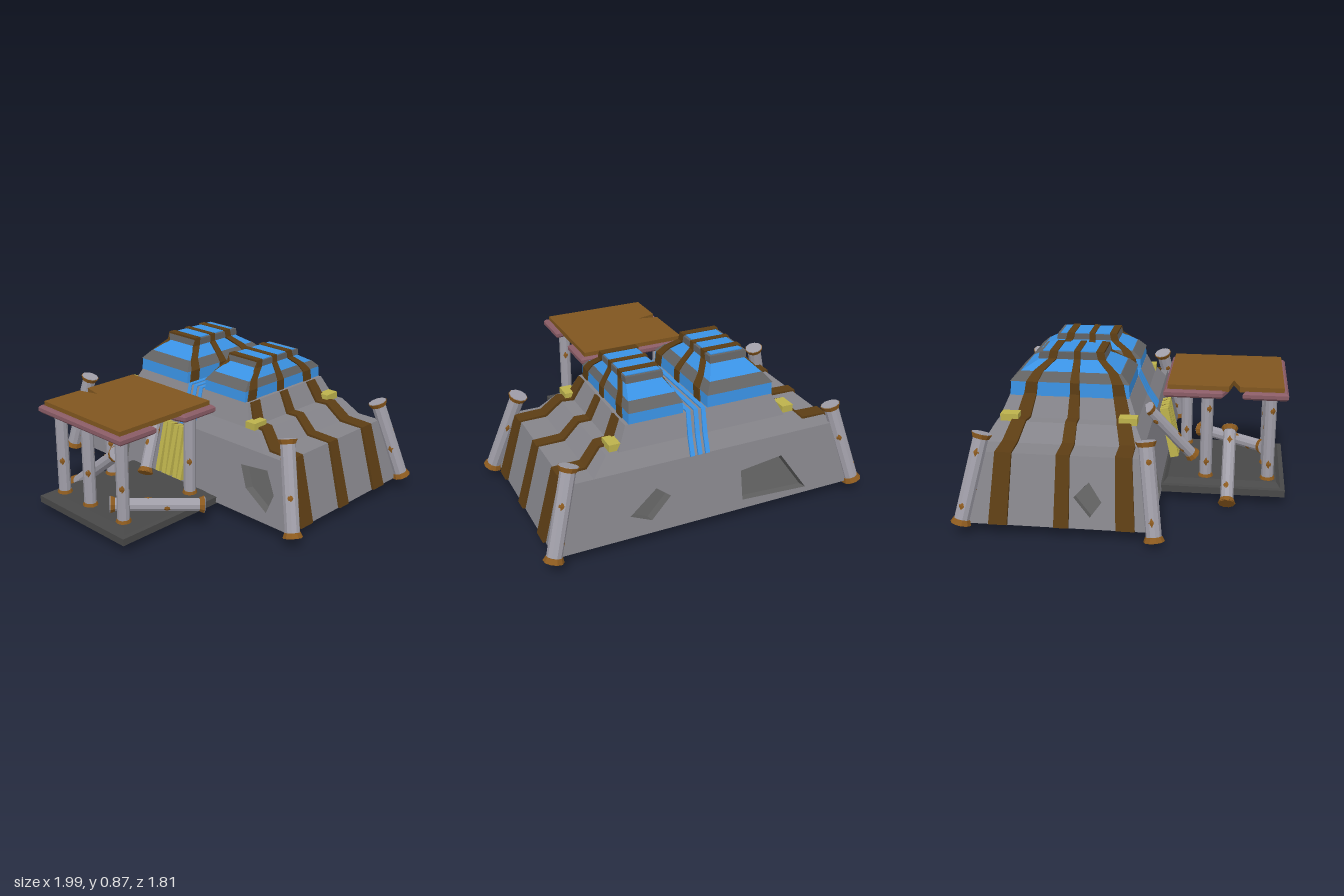
import * as THREE from 'three';

const mat = (color) => new THREE.MeshStandardMaterial({ color, flatShading: true });
const M = {
  stone: mat(0x85848a), dark: mat(0x636363), slab: mat(0x484848), blue: mat(0x3a92e4), strap: mat(0x5c3d14),
  roof: mat(0x80561f), trim: mat(0x8a5c66), yellow: mat(0xbdb24c), pillar: mat(0xa09ea8), rust: mat(0x8c5a1e),
};
const CZ = -0.31; // centre of the main building in z

function add(parent, name, geometry, material, x = 0, y = 0, z = 0) {
  const m = new THREE.Mesh(geometry, material);
  m.name = name;
  m.position.set(x, y, z);
  parent.add(m);
  return m;
}

// Solid skinned over rings of corners (counter-clockwise seen from the far end); the far end may stay open
function loft(rings, closeEnd = true) {
  const pos = [], n = rings[0].length;
  const tri = (...p) => p.forEach((v) => pos.push(...v));
  for (let r = 0; r + 1 < rings.length; r++) {
    for (let i = 0; i < n; i++) {
      const j = (i + 1) % n, a = rings[r], b = rings[r + 1];
      tri(a[i], a[j], b[j]);
      tri(a[i], b[j], b[i]);
    }
  }
  const s = rings[0], e = rings[rings.length - 1];
  for (let i = 1; i + 1 < n; i++) {
    tri(s[0], s[i + 1], s[i]);
    if (closeEnd) tri(e[0], e[i], e[i + 1]);
  }
  const g = new THREE.BufferGeometry();
  g.setAttribute('position', new THREE.Float32BufferAttribute(pos, 3));
  g.computeVertexNormals();
  return g;
}

const rect = (y, x0, x1, hz, cz = CZ) =>
  [[x1, y, cz + hz], [x1, y, cz - hz], [x0, y, cz - hz], [x0, y, cz + hz]];

// Flat strap following points [x, y, z, width], thickened along the path normal
function ribbon(path, t) {
  return loft(path.map(([x, y, z, w], i) => {
    const a = path[Math.max(i - 1, 0)], b = path[Math.min(i + 1, path.length - 1)];
    const l = Math.hypot(b[0] - a[0], b[1] - a[1]);
    const nx = -(b[1] - a[1]) / l, ny = (b[0] - a[0]) / l, h = w / 2;
    const p = (d, dz) => [x + nx * d, y + ny * d, z + dz];
    return [p(-0.012, h), p(-0.012, -h), p(t, -h), p(t, h)];
  }));
}

const polygon = (pts) => new THREE.Shape(pts.map(([x, y]) => new THREE.Vector2(x, y)));

// Sloping wall with broken niches sunk into it (niche corners run clockwise, so the recess faces outward)
function wall(parent, angle, wb, wt, db, dt, niches) {
  const h = 0.37, tilt = Math.atan((db - dt) / h), len = Math.hypot(h, db - dt);
  const shape = polygon([[-wb, 0], [wb, 0], [wt, len], [-wt, len]]);
  const turn = (g) => g.rotateX(-tilt).translate(0, 0.06, db).rotateY(angle).translate(0, 0, CZ);
  for (const niche of niches) {
    const pts = niche.map(([x, y]) => [x, (y - 0.06) / Math.cos(tilt)]);
    shape.holes.push(polygon(pts));
    const recess = loft([-0.06, 0].map((d) => pts.map(([x, y]) => [x, y, d])), false);
    add(parent, 'brokenNiche', turn(recess), M.dark);
  }
  add(parent, 'slopingWall', turn(new THREE.ShapeGeometry(shape)), M.stone);
}

// Pipe-like pillar with rusty flanges between two points
function pillar(parent, name, from, to, r = 0.037, baseMaterial = M.rust) {
  const a = new THREE.Vector3(...from), b = new THREE.Vector3(...to);
  const len = a.distanceTo(b), g = new THREE.Group();
  g.name = name;
  g.position.copy(a).lerp(b, 0.5);
  g.quaternion.setFromUnitVectors(new THREE.Vector3(0, 1, 0), b.clone().sub(a).normalize());
  add(g, 'shaft', new THREE.CylinderGeometry(r, r, len, 10), M.pillar);
  for (const s of [-1, 1]) {
    const big = r * 1.35, small = r * 1.08;
    add(g, 'flange', new THREE.CylinderGeometry(s > 0 ? big : small, s > 0 ? small : big, 0.026, 10), M.rust, 0, s * (len / 2 - 0.014), 0);
    add(g, 'endCap', new THREE.CylinderGeometry(r * 1.25, r * 1.25, 0.006, 10), s > 0 ? M.pillar : baseMaterial, 0, s * len / 2, 0);
  }
  for (let i = 0; i < 4; i++) { // rust patches
    const t = i * 2.2 + len * 9;
    const p = add(g, 'rustPatch', new THREE.OctahedronGeometry(1), M.rust, Math.sin(t) * r * 0.92, (i - 1.5) * len * 0.2, Math.cos(t) * r * 0.92);
    p.scale.set(0.016, 0.034, 0.006);
    p.rotation.y = t;
  }
  parent.add(g);
}

// Outer edge and inner edge are on the -x side; side = 1 mirrors to +x
function tower(parent, side, outer, inner, k, s) {
  const Y = (y) => 0.64 + (y - 0.64) * s;
  const ring = (y, inset, hz) => {
    const o = outer + inset * k, i = inner - inset * k;
    return side > 0 ? rect(Y(y), -i, -o, hz) : rect(Y(y), o, i, hz);
  };
  const g = new THREE.Group();
  g.name = side > 0 ? 'leftTower' : 'rightTower';
  add(g, 'lowerGlass', loft([ring(0.63, 0, 0.335), ring(0.71, 0.004, 0.33)]), M.blue);
  add(g, 'lowerBand', loft([ring(0.71, 0, 0.335), ring(0.76, 0.04, 0.285)]), M.dark);
  add(g, 'upperGlass', loft([ring(0.76, 0.042, 0.28), ring(0.82, 0.1, 0.18)]), M.blue);
  add(g, 'capBand', loft([ring(0.82, 0.09, 0.19), ring(0.86, 0.09, 0.182)]), M.dark);
  add(g, 'skylight', loft([ring(0.855, 0.105, 0.165), ring(0.865, 0.105, 0.165)]), M.blue);

  // three straps climbing the end wall, then thinner ones over the tower and down its inner side
  const up = [[0, 0.64, 0.25, 0.07], [0, 0.71, 0.24, 0.065], [0.04, 0.76, 0.21, 0.055], [0.09, 0.82, 0.14, 0.045], [0.09, 0.863, 0.13, 0.045]];
  for (const f of [-1, 0, 1]) {
    const z = (v) => CZ + 0.03 + v * f, width = f ? 1 : 0.8;
    const strap = (name, points, t) => {
      let path = points.map(([x, y, v, w]) => [x, y, z(v), w * width]);
      if (side > 0) path = path.reverse().map(([x, ...rest]) => [-x, ...rest]);
      add(g, name, ribbon(path, t), M.strap);
    };
    strap('wallStrap', [
      [-0.912, 0.062, 0.34, 0.1], [-0.81, 0.43, 0.32, 0.09], [-0.66, 0.43, 0.32, 0.085],
      [-0.57, 0.52, 0.29, 0.08], [-0.5, 0.52, 0.28, 0.08], [-0.44, 0.64, 0.25, 0.07]], 0.015);
    strap('towerStrap', [
      ...up.map(([i, y, v, w]) => [outer + i * k, Y(y), v, w]),
      ...up.slice().reverse().map(([i, y, v, w]) => [inner - i * k, Y(y), v, w])], 0.006);
  }
  parent.add(g);
}

export function createModel() {
  const model = new THREE.Group();
  model.name = 'ruinedBunker';

  // main building
  const body = new THREE.Group();
  body.name = 'building';
  model.add(body);
  wall(body, 0, 0.91, 0.81, 0.51, 0.44, [
    [[-0.53, 0.3], [-0.41, 0.19], [-0.41, 0.075], [-0.62, 0.075]],
    [[0.51, 0.33], [0.7, 0.35], [0.77, 0.23], [0.735, 0.12], [0.57, 0.21]],
  ]);
  wall(body, Math.PI, 0.91, 0.81, 0.51, 0.44, [
    [[-0.48, 0.18], [-0.32, 0.3], [-0.24, 0.24], [-0.36, 0.13]],
    [[0.19, 0.28], [0.45, 0.31], [0.6, 0.09], [0.19, 0.11]],
  ]);
  wall(body, Math.PI / 2, 0.51, 0.44, 0.91, 0.81, []);
  wall(body, -Math.PI / 2, 0.51, 0.44, 0.91, 0.81, [[[0.09, 0.22], [0.17, 0.3], [0.24, 0.2], [0.18, 0.12]]]);
  add(body, 'floor', new THREE.PlaneGeometry(1.82, 1.02).rotateX(Math.PI / 2), M.dark, 0, 0.06, CZ);
  const tiers = [[0.43, 0.81, 0.44], [0.43, 0.66, 0.44], [0.52, 0.57, 0.385], [0.52, 0.5, 0.385], [0.64, 0.44, 0.335]];
  add(body, 'upperTiers', loft(tiers.map(([y, hx, hz]) => rect(y, -hx, hx, hz))), M.stone);
  tower(model, -1, -0.445, -0.04, 1, 1);
  tower(model, 1, -0.42, -0.104, 0.55, 0.88);

  // yellow blocks on the ledges
  for (const x of [-0.535, 0.51]) for (const z of [0.03, -0.625])
    add(body, 'ledgeBlock', new THREE.BoxGeometry(0.068, 0.04, 0.1), M.yellow, x, 0.54, z);

  // blue conduits running over the middle
  for (const x of [-0.015, 0.03, 0.075]) {
    const path = [[-0.755, 0.43, -x - 0.025, 0.025], [-0.7, 0.52, -x - 0.015, 0.025], [-0.645, 0.64, -x, 0.025],
      [0.025, 0.64, -x, 0.025], [0.075, 0.52, -x - 0.02, 0.025], [0.13, 0.43, -x - 0.03, 0.025]];
    add(body, 'conduit', ribbon(path, 0.008).rotateY(-Math.PI / 2), M.blue);
  }

  // leaning corner pillars
  pillar(model, 'cornerPillar', [-0.945, 0.03, 0.215], [-0.81, 0.53, 0.155], 0.042);
  pillar(model, 'cornerPillar', [0.945, 0.06, 0.21], [0.79, 0.55, 0.095], 0.042);
  pillar(model, 'cornerPillar', [-0.92, 0.06, -0.82], [-0.795, 0.53, -0.715], 0.042);
  pillar(model, 'cornerPillar', [0.93, 0.07, -0.85], [0.79, 0.54, -0.745], 0.042);

  // porch
  const porch = new THREE.Group();
  porch.name = 'porch';
  model.add(porch);
  add(porch, 'porchSlab', loft([rect(0.05, -0.366, 0.366, 0.36, 0.54), rect(0.09, -0.366, 0.366, 0.36, 0.54),
    rect(0.092, -0.34, 0.34, 0.335, 0.54), rect(0.12, -0.31, 0.31, 0.31, 0.54)]), M.slab);
  for (const [x, z] of [[-0.26, 0.8], [-0.028, 0.8], [0.255, 0.8], [-0.26, 0.445], [0.255, 0.3]])
    pillar(porch, 'porchPillar', [x, 0.11, z], [x, 0.645, z], 0.035);
  pillar(porch, 'fallenPillar', [-0.45, 0.035, 0.575], [-0.06, 0.345, 0.575], 0.037);
  pillar(porch, 'fallenPillar', [0.45, 0.14, 0.38], [0.12, 0.165, 0.78], 0.037, M.pillar);
  pillar(porch, 'fallenPillar', [-0.06, 0.16, 0.36], [-0.21, 0.5, 0.1], 0.035);

  // cracked roof: plan outlines drawn as [x, z], extruded downwards
  const sheet = (pts, y, depth, bevel) => new THREE.ExtrudeGeometry(polygon(pts),
    { depth, bevelEnabled: bevel > 0, bevelSize: bevel, bevelThickness: bevel, bevelOffset: -bevel, bevelSegments: 1 })
    .rotateX(Math.PI / 2).translate(0, y, 0);
  add(porch, 'roofTrimBack', sheet([[-0.335, 0.2], [0.36, 0.2], [0.36, 0.435], [0.27, 0.46], [0.27, 0.29],
    [-0.245, 0.29], [-0.245, 0.56], [-0.335, 0.53]], 0.643, 0.02, 0.012), M.trim);
  add(porch, 'roofTrimFront', sheet([[-0.335, 0.64], [-0.245, 0.66], [-0.245, 0.805], [0.27, 0.805], [0.27, 0.66],
    [0.36, 0.645], [0.36, 0.895], [-0.335, 0.895]], 0.643, 0.02, 0.012), M.trim);
  add(porch, 'roofSheet', sheet([[-0.31, 0.22], [0.33, 0.22], [0.33, 0.87], [-0.31, 0.87],
    [-0.31, 0.625], [-0.19, 0.59], [-0.31, 0.565]], 0.68, 0.03, 0), M.roof);

  // slatted door leaning on the front wall
  const door = new THREE.Group();
  door.name = 'leaningDoor';
  door.position.set(0.045, 0.295, 0.215);
  door.rotation.x = -0.22;
  porch.add(door);
  add(door, 'doorBacking', new THREE.BoxGeometry(0.2, 0.3, 0.02), M.strap, 0, 0, -0.01);
  for (let i = 0; i < 5; i++) {
    const slat = add(door, 'doorSlat', new THREE.BoxGeometry(0.03, 0.31, 0.05), M.yellow, (i - 2) * 0.046, 0, 0);
    slat.rotation.z = (i % 2 ? 1 : -1) * 0.025;
  }

  return model;
}
